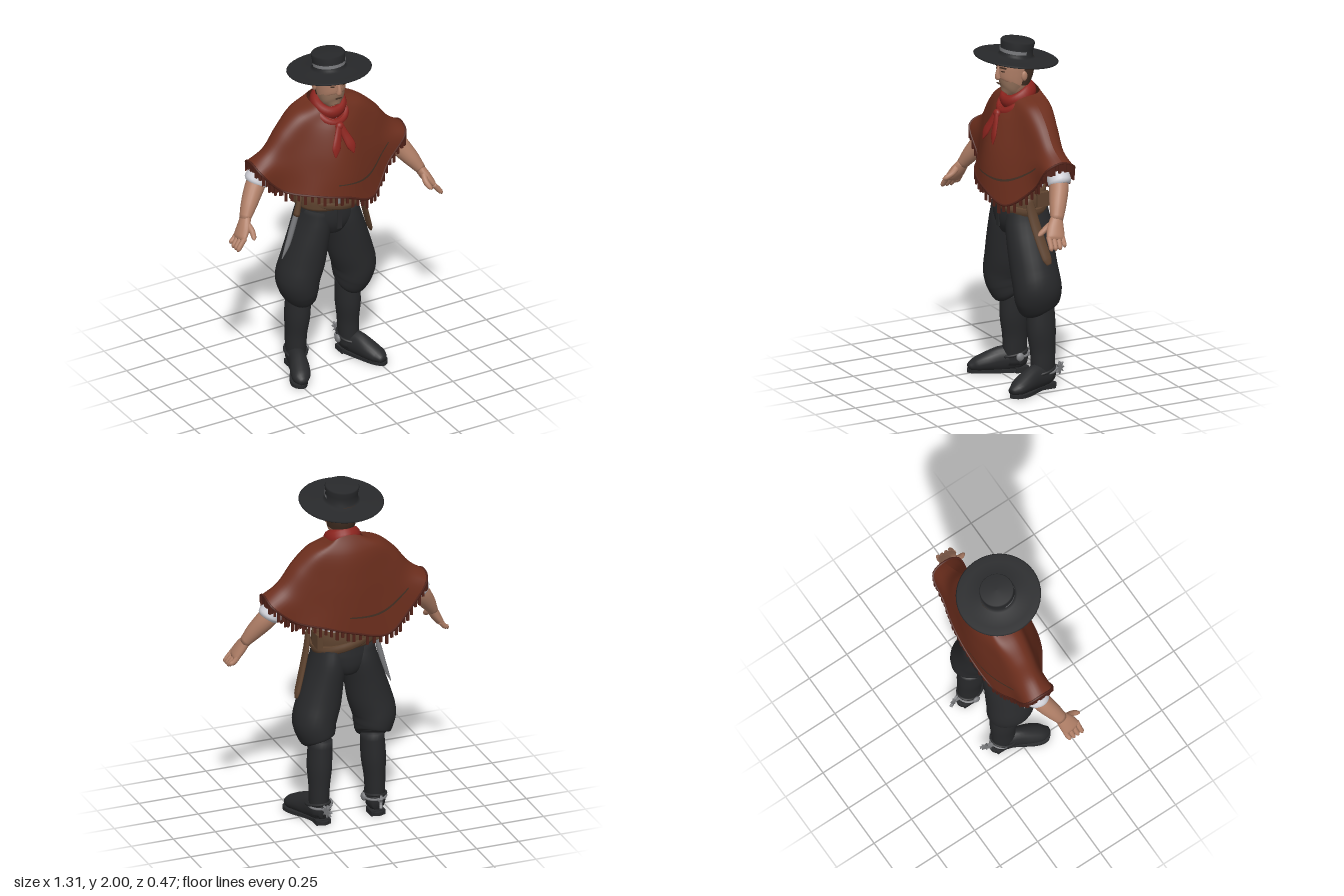
import * as THREE from 'three';

const mat = (name, color, side = THREE.FrontSide) => {
  const m = new THREE.MeshStandardMaterial({ color, side });
  m.name = name;
  return m;
};
const V = (x, y, z) => new THREE.Vector3(x, y, z);

// Lofted body part: path rows are [x, y, z, sideRadius, depthRadius]
function limb(path, { seg = 20, ref = V(0, 0, 1), arc = null, sub = 4 } = {}) {
  const centre = new THREE.CatmullRomCurve3(path.map(p => V(p[0], p[1], p[2])));
  const radii = new THREE.CatmullRomCurve3(path.map(p => V(p[3], p[4], 0)));
  const n = (path.length - 1) * sub, cols = arc ? seg + 1 : seg;
  const pos = [], idx = [];
  for (let i = 0; i <= n; i++) {
    const c = centre.getPoint(i / n), r = radii.getPoint(i / n), t = centre.getTangent(i / n);
    const side = t.clone().cross(ref).normalize(), b = side.clone().cross(t);
    for (let j = 0; j < cols; j++) {
      const a = arc ? arc[0] + (arc[1] - arc[0]) * j / seg : j / seg * Math.PI * 2;
      const p = c.clone().addScaledVector(side, r.x * Math.cos(a)).addScaledVector(b, r.y * Math.sin(a));
      pos.push(p.x, p.y, p.z);
    }
  }
  for (let i = 0; i < n; i++) for (let j = 0; j < seg; j++) {
    const a = i * cols + j, b = i * cols + (j + 1) % cols;
    idx.push(a, a + cols, b, b, a + cols, b + cols);
  }
  if (!arc) {
    const k = pos.length / 3, first = path[0], last = path[path.length - 1];
    pos.push(first[0], first[1], first[2], last[0], last[1], last[2]);
    for (let j = 0; j < seg; j++) {
      const q = (j + 1) % seg;
      idx.push(k, j, q, k + 1, n * cols + q, n * cols + j);
    }
  }
  return finish(pos, idx);
}

function finish(pos, idx) {
  const g = new THREE.BufferGeometry();
  g.setAttribute('position', new THREE.Float32BufferAttribute(pos, 3));
  g.setIndex(idx);
  g.computeVertexNormals();
  return g;
}

// Poncho: four draped rings, then a free hem with a low corner in front and behind
const hem = new THREE.CatmullRomCurve3([
  [.475, 1.40, -.04], [.46, 1.365, .045], [.34, 1.225, .065], [.18, 1.10, .165],
  [0, 1.165, .205], [-.17, 1.20, .165], [-.33, 1.23, .065], [-.46, 1.365, .045],
  [-.475, 1.40, -.04], [-.46, 1.365, -.12], [-.35, 1.22, -.14], [-.21, 1.11, -.17],
  [0, 1.155, -.185], [.17, 1.21, -.175], [.33, 1.26, -.14], [.46, 1.365, -.12],
].map(p => V(...p)), true);
// [halfWidth, frontDepth, backDepth, ySide, yFront, yBack]
const drape = [
  [.10, .125, .08, 1.685, 1.61, 1.72], [.205, .155, .13, 1.652, 1.55, 1.62],
  [.30, .20, .15, 1.572, 1.42, 1.45], [.385, .225, .155, 1.465, 1.29, 1.30],
];
function ponchoColumn(u) {
  const c = Math.cos(u * Math.PI * 2), s = Math.sin(u * Math.PI * 2), k = Math.abs(s);
  const pts = drape.map(([w, f, b, ys, yf, yb]) => {
    // flat over the arms, bulging over chest and back
    const full = s > 0 ? f : b, slab = Math.min(s > 0 ? .085 : .105, full);
    const depth = slab * (1 - (1 - k) ** 3) + (full - slab) * k ** 5;
    return V(w * c, ys + ((s > 0 ? yf : yb) - ys) * k ** 1.4, -.03 + Math.sign(s) * depth);
  });
  pts.push(hem.getPoint(u % 1));
  return new THREE.CatmullRomCurve3(pts);
}
function ponchoPatch(u0, u1, v0, v1, nu, nv, out = 0) {
  const pos = [], idx = [];
  for (let i = 0; i <= nu; i++) {
    const col = ponchoColumn(u0 + (u1 - u0) * i / nu);
    for (let j = 0; j <= nv; j++) {
      const p = col.getPoint(v0 + (v1 - v0) * j / nv), r = Math.hypot(p.x, p.z);
      pos.push(p.x + p.x / r * out, p.y, p.z + p.z / r * out);
      if (i < nu && j < nv) {
        const a = i * (nv + 1) + j, b = a + nv + 1;
        idx.push(a, b, a + 1, b, b + 1, a + 1);
      }
    }
  }
  return finish(pos, idx);
}

export function createModel() {
  const model = new THREE.Group();
  const M = {
    poncho: mat('rust wool', 0x6c2e1d, THREE.DoubleSide), fringe: mat('dark rust', 0x512219),
    scarf: mat('scarf red', 0x8c241e), black: mat('black cloth', 0x28292b),
    skin: mat('skin', 0xb07f67), stubble: mat('stubble', 0x92705a, THREE.DoubleSide),
    white: mat('white linen', 0xcfcfd6), leather: mat('brown leather', 0x5e432f),
    metal: mat('steel', 0x7c7d80, THREE.DoubleSide), hair: mat('dark brown', 0x443024, THREE.DoubleSide),
  };
  const add = (name, geo, m, x = 0, y = 0, z = 0, parent = model) => {
    const mesh = new THREE.Mesh(geo, m);
    mesh.name = name;
    mesh.position.set(x, y, z);
    parent.add(mesh);
    return mesh;
  };
  const box = (w, h, d) => new THREE.BoxGeometry(w, h, d);
  const ball = (r, sx, sy, sz) => new THREE.SphereGeometry(r, 16, 12).scale(sx, sy, sz);

  // Hat, tipped back
  const hat = new THREE.Group();
  hat.name = 'hat';
  hat.position.set(0, 1.886, 0);
  hat.rotation.x = -.13;
  model.add(hat);
  const profile = [[0, -.008], [.1, -.008], [.2, -.012], [.232, -.006], [.237, .001], [.23, .006], [.19, .004],
    [.105, .01], [.091, .018], [.091, .06], [.096, .092], [.091, .1], [0, .103]];
  add('hatBody', new THREE.LatheGeometry(profile.map(p => new THREE.Vector2(...p)), 40), M.black, 0, 0, 0, hat);
  add('hatBand', new THREE.CylinderGeometry(.096, .094, .02, 24, 1, true, -1.7, 3.4), M.metal, 0, .043, 0, hat);

  // Head and face
  const skull = [[0, 1.682, .06, .03, .03], [0, 1.705, .042, .058, .058], [0, 1.745, .018, .076, .088],
    [0, 1.80, .008, .084, .102], [0, 1.85, .004, .088, .106], [0, 1.895, 0, .085, .1]];
  const grow = (rows, d) => rows.map(([x, y, z, a, b]) => [x, y, z, a + d, b + d]);
  add('head', limb(skull), M.skin);
  add('neck', limb([[0, 1.58, -.03, .07, .07], [0, 1.68, -.015, .063, .066], [0, 1.76, -.01, .065, .07]]), M.skin);
  add('beard', limb(grow(skull.slice(0, 3), .003), { arc: [-.1, Math.PI + .1] }), M.stubble);
  add('hair', limb(grow(skull.slice(2), .005), { arc: [Math.PI + .1, Math.PI * 2 - .1] }), M.hair);
  add('nose', limb([[0, 1.845, .103, .01, .01], [0, 1.80, .111, .013, .017], [0, 1.782, .11, .016, .017],
    [0, 1.775, .105, .01, .01]], { seg: 10 }), M.skin);
  add('mouth', box(.036, .005, .008), M.hair, 0, 1.748, .107);
  for (const s of [1, -1]) {
    add('brow', box(.042, .008, .009), M.hair, s * .037, 1.846, .1).rotation.y = s * .35;
    add('eye', box(.022, .006, .008), M.hair, s * .036, 1.825, .099).rotation.y = s * .35;
    add('ear', ball(.028, .4, 1, .65), M.skin, s * .092, 1.8, -.005);
  }

  // Neck scarf with knot and two tails
  add('scarfCollar', new THREE.TorusGeometry(.073, .03, 12, 32).scale(1, 1.05, 1.5).rotateX(Math.PI / 2 + .52), M.scarf, 0, 1.672, -.012);
  add('scarfFold', new THREE.TorusGeometry(.085, .022, 10, 32).scale(1, 1.1, 1.4).rotateX(Math.PI / 2 + .72), M.scarf, 0, 1.643, .012);
  add('scarfKnot', ball(.026, 1, 1, .8), M.scarf, 0, 1.575, .117);
  for (const s of [1, -1]) add('scarfTail', limb([[s * .005, 1.585, .12, .016, .012], [s * .022, 1.53, .138, .023, .011],
    [s * .045, 1.47, .162, .028, .009], [s * .058, 1.42, .175, .004, .004]], { seg: 10 }), M.scarf);

  // Poncho, hem cord, fringe and woven stripes
  add('poncho', ponchoPatch(0, 1, 0, 1, 96, 24), M.poncho);
  add('hemCord', new THREE.TubeGeometry(hem, 128, .007, 6, true), M.fringe);
  for (const [u0, u1] of [[.1, .27], [.6, .76]])
    add('wovenStripe', ponchoPatch(u0, u1, .83, .845, 28, 1, .005), M.hair);
  const count = 84;
  for (let i = 0; i < count; i++) {
    const p = hem.getPoint(i / count), t = hem.getTangent(i / count), len = .046 + .012 * Math.sin(i * 2.3);
    const tassel = add('tassel', box(.015, len, .009), M.fringe, p.x, p.y - len / 2, p.z);
    tassel.rotation.y = Math.atan2(-t.z, t.x);
  }

  // Shirt, belt and trouser seat
  add('shirt', limb([[0, 1.08, -.02, .16, .125], [0, 1.25, -.02, .155, .13], [0, 1.45, -.03, .16, .115],
    [0, 1.58, -.03, .09, .08]]), M.white);
  add('belt', limb([[0, 1.05, -.02, .178, .138], [0, 1.1, -.02, .18, .142], [0, 1.15, -.02, .172, .138]], { seg: 28 }), M.leather);
  add('lowerBelt', limb([[0, 1.045, -.02, .182, .14], [.006, 1.07, -.02, .187, .147], [.012, 1.095, -.02, .182, .14]], { seg: 28 }), M.leather);
  add('buckle', box(.04, .055, .012), M.metal, -.01, 1.12, .124);
  add('seat', limb([[0, .86, -.03, .03, .06], [0, .885, -.03, .09, .11], [0, .94, -.028, .15, .133],
    [0, 1.0, -.022, .178, .138], [0, 1.08, -.02, .17, .133]], { seg: 28 }), M.black);
  add('fly', box(.03, .12, .01), M.black, 0, .985, .112);

  for (const s of [1, -1]) {
    const mirror = rows => rows.map(r => [r[0] * s, ...r.slice(1)]);
    const part = (name, rows, m, opt) => add(name, limb(mirror(rows), opt), m);

    // Arm
    part('sleeve', [[.16, 1.5, -.035, .05, .05], [.27, 1.42, -.035, .052, .052], [.35, 1.36, -.035, .056, .055],
      [.41, 1.32, -.04, .068, .064], [.443, 1.283, -.04, .07, .066], [.455, 1.265, -.04, .052, .05]], M.white);
    part('forearm', [[.40, 1.33, -.045, .05, .05], [.45, 1.265, -.03, .057, .054], [.515, 1.175, .01, .046, .047],
      [.56, 1.105, .04, .029, .035]], M.skin);
    part('palm', [[.55, 1.12, .035, .027, .034], [.58, 1.065, .058, .028, .05], [.605, 1.025, .07, .023, .054],
      [.614, 1.01, .074, .013, .047]], M.skin);
    for (let i = 0; i < 4; i++) {
      const z = .03 + .027 * i, d = i === 0 ? .012 : 0;
      part('finger', [[.6, 1.03, z, .015, .015], [.628, .995, z + .003, .015, .0145],
        [.643, .975 + d, z + .006, .013, .013], [.649, .963 + d, z + .006, .005, .005]], M.skin, { seg: 10 });
    }
    part('thumb', [[.565, 1.095, .065, .02, .022], [.553, 1.06, .11, .017, .017], [.56, 1.04, .142, .014, .014],
      [.566, 1.033, .157, .005, .005]], M.skin, { seg: 10, ref: V(0, 1, 0) });

    // Baggy trouser leg gathered below the knee
    part('trouserLeg', [[.085, 1.04, -.022, .085, .12], [.095, .94, -.027, .1, .135], [.122, .82, -.028, .112, .135],
      [.15, .7, -.033, .123, .135], [.177, .6, -.04, .122, .138], [.17, .53, -.047, .109, .133],
      [.16, .487, -.055, .094, .117], [.156, .468, -.065, .068, .085]], M.black, { seg: 28 });

    // Boot with sole and heel
    part('bootShaft', [[.154, .49, -.07, .065, .08], [.16, .35, -.073, .069, .084], [.165, .22, -.08, .058, .073],
      [.167, .13, -.08, .055, .07], [.167, .05, -.08, .05, .065]], M.black);
    part('bootFoot', [[.158, .075, -.146, .03, .04], [.165, .08, -.1, .054, .066], [.19, .078, -.02, .05, .073],
      [.22, .064, .06, .056, .056], [.245, .048, .12, .05, .04], [.253, .037, .163, .022, .018]], M.black, { ref: V(0, 1, 0) });
    const outline = [[.135, -.15], [.19, -.15], [.22, -.05], [.285, .06], [.297, .13], [.255, .168], [.21, .13], [.168, .04], [.125, -.07]];
    const sole = new THREE.Shape();
    sole.moveTo(outline[8][0] * s, outline[8][1]);
    sole.splineThru(outline.map(p => new THREE.Vector2(p[0] * s, p[1])));
    add('sole', new THREE.ExtrudeGeometry(sole, { depth: .02, bevelEnabled: false, curveSegments: 4 }).rotateX(Math.PI / 2), M.black, 0, .024, 0);
    add('heel', box(.085, .03, .075), M.black, s * .163, .015, -.105);

    // Spur: strap, shank, toothed wheel and inner stud
    const strap = add('spurStrap', new THREE.TorusGeometry(.066, .008, 8, 28).scale(.92, 1.15, 1).rotateX(Math.PI / 2 + .2), M.black, s * .17, .11, -.075);
    strap.rotation.y = s * .25;
    add('spurYoke', new THREE.TorusGeometry(.062, .007, 6, 20, Math.PI).rotateX(-Math.PI / 2), M.metal, s * .163, .1, -.09);
    part('spurShank', [[.16, .1, -.145, .01, .01], [.16, .102, -.19, .008, .008]], M.metal, { seg: 8, ref: V(0, 1, 0) });
    const star = new THREE.Shape();
    for (let i = 0; i < 16; i++) {
      const r = i % 2 ? .018 : .038, a = i * Math.PI / 8;
      star[i ? 'lineTo' : 'moveTo'](r * Math.cos(a), r * Math.sin(a));
    }
    const wheel = add('spurWheel', new THREE.ExtrudeGeometry(star, { depth: .014, bevelEnabled: false }).translate(0, 0, -.007),
      M.metal, s * .16, .1, -.188);
    wheel.rotation.y = Math.PI / 2 + s * .4;
    add('spurStud', ball(.024, .6, 1, 1), M.metal, s * .1, .1, -.08);

    // Belt pouch
    add('pouch', box(.035, .08, .08), M.leather, s * .172, 1.1, -.075);
  }

  // Sheath on the left, bare blade on the right
  add('sheath', limb([[.19, 1.12, .02, .012, .022], [.205, 1.03, .005, .014, .03], [.243, .9, -.02, .013, .031],
    [.28, .79, -.045, .012, .029], [.292, .755, -.055, .006, .016]], { seg: 12 }), M.leather);
  add('knifeHandle', limb([[-.175, 1.15, 0, .012, .014], [-.195, 1.07, 0, .016, .018], [-.208, 1.01, 0, .018, .022]], { seg: 12 }), M.leather);
  add('knifeBlade', limb([[-.205, 1.03, 0, .014, .018], [-.228, .93, -.01, .016, .018], [-.255, .83, -.015, .014, .015],
    [-.288, .745, -.02, .002, .002]], { seg: 8 }), M.metal);
  return model;
}
